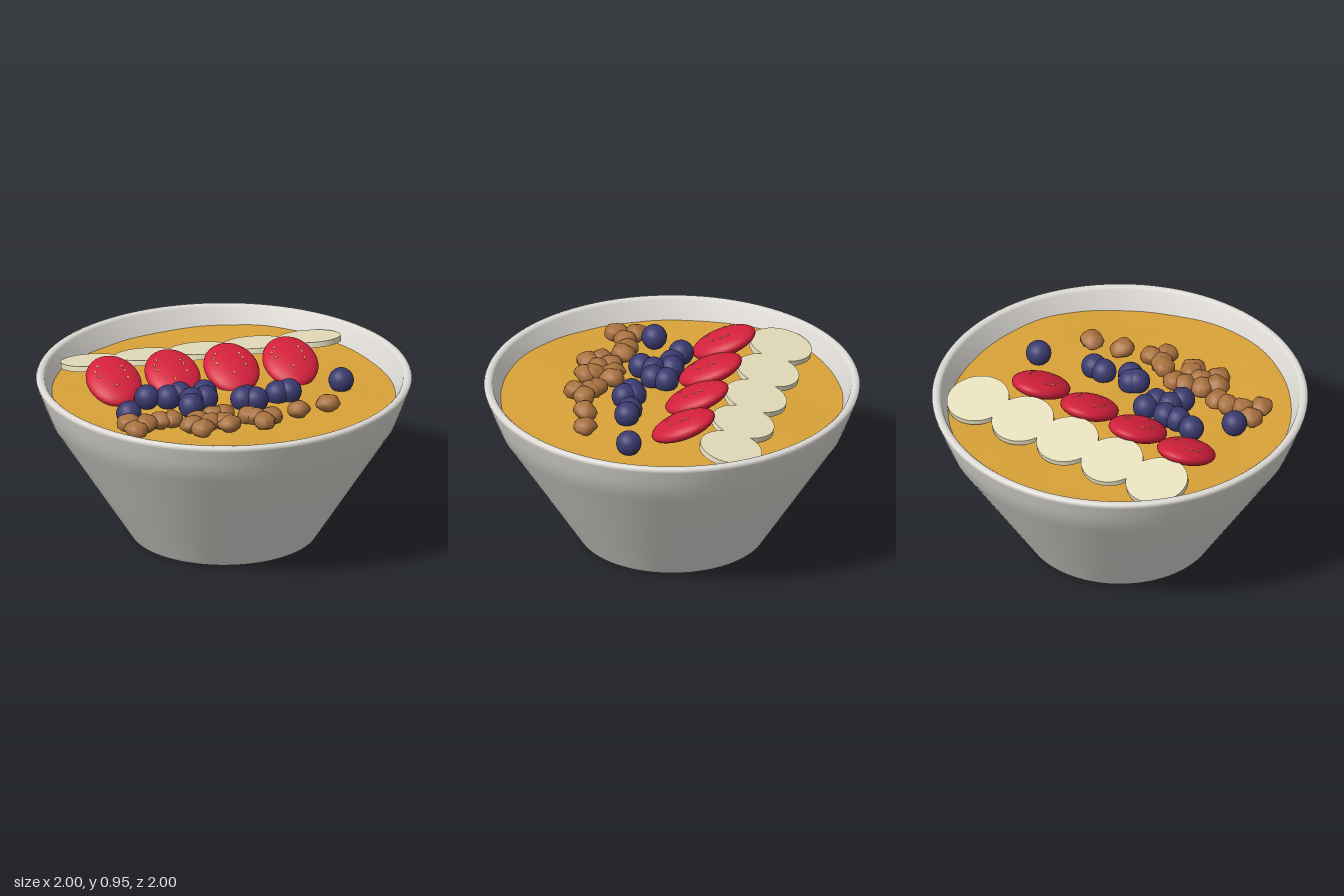
import * as THREE from 'three';

const mat = (name, color, side = THREE.FrontSide) => {
  const m = new THREE.MeshStandardMaterial({ color, side });
  m.name = name;
  return m;
};

export function createModel() {
  const ceramic = mat('ceramic', 0xdedbd6);
  const smoothie = mat('smoothie', 0xd9a238, THREE.DoubleSide);
  const banana = mat('banana', 0xeee6c2);
  const red = mat('berryRed', 0xd4203c);
  const seedGold = mat('seedGold', 0xdcb050);
  const blue = mat('berryBlue', 0x3a3a70);
  const brown = mat('nutBrown', 0xa8713f);

  const model = new THREE.Group();
  model.name = 'fruitBowl';
  const add = (name, geo, material, x = 0, y = 0, z = 0, parent = model) => {
    const mesh = new THREE.Mesh(geo, material);
    mesh.name = name;
    mesh.position.set(x, y, z);
    parent.add(mesh);
    return mesh;
  };

  // Bowl: outer wall, rounded rim, inner wall
  const profile = [
    [0, 0], [0.48, 0], [0.5, 0.004], [0.512, 0.022], [0.92, 0.66], [0.965, 0.775],
    [0.998, 0.865], [1, 0.878], [0.994, 0.888], [0.98, 0.893], [0.964, 0.89],
    [0.953, 0.88], [0.91, 0.78], [0.87, 0.68], [0.47, 0.06], [0, 0.05],
  ].map(([x, y]) => new THREE.Vector2(x, y));
  add('bowl', new THREE.LatheGeometry(profile, 96), ceramic);

  // Gently rippled filling, its edge running into the wall
  const surface = new THREE.RingGeometry(0.001, 0.93, 72, 16);
  surface.rotateX(-Math.PI / 2);
  const p = surface.attributes.position;
  for (let i = 0; i < p.count; i++) {
    const x = p.getX(i), z = p.getZ(i);
    p.setY(i, 0.785 + 0.007 * Math.sin(5 * x + 2 * z + 1) + 0.006 * Math.cos(6 * z - 3 * x)
      + 0.002 * Math.sin(17 * x) * Math.cos(15 * z));
  }
  surface.computeVertexNormals();
  add('filling', surface, smoothie);

  // Row of banana slices leaning backward
  const slice = new THREE.CylinderGeometry(0.167, 0.167, 0.03, 40);
  for (let i = 0; i < 5; i++) {
    add('bananaSlice', slice, banana, -0.6 + 0.3 * i, 0.845, -0.455).rotation.x = -0.2;
  }

  // Strawberry halves propped on the slices, dotted with seeds
  const fruit = new THREE.SphereGeometry(1, 32, 20);
  const seed = new THREE.SphereGeometry(1, 6, 4);
  const seedSpots = [[-0.095, -0.04], [-0.085, 0], [-0.075, -0.075], [0.05, -0.055],
    [0.065, 0.03], [0.06, -0.02], [-0.01, 0.08]];
  for (let i = 0; i < 4; i++) {
    const berry = new THREE.Group();
    berry.name = 'strawberry';
    berry.position.set(-0.565 + 0.325 * i, 0.857, -0.155);
    berry.rotation.x = 0.4;
    model.add(berry);
    add('strawberryFlesh', fruit, red, 0, 0, 0, berry).scale.set(0.148, 0.058, 0.182);
    for (const [x, z] of seedSpots) {
      const h = 0.058 * Math.sqrt(1 - (x / 0.148) ** 2 - (z / 0.182) ** 2);
      add('strawberrySeed', seed, seedGold, x, h, z, berry).scale.set(0.007, 0.004, 0.01);
    }
  }

  // Scattered blueberries
  const ball = new THREE.SphereGeometry(0.068, 20, 14);
  [[-0.44, 0.05], [-0.33, 0.075], [-0.26, 0.06], [-0.125, 0.06], [-0.22, 0.15],
    [-0.14, 0.135], [-0.245, 0.225], [-0.59, 0.23], [0.045, 0.21], [0.075, 0.19],
    [0.11, 0.235], [0.245, 0.175], [0.31, 0.175], [0.62, 0.095],
  ].forEach(([x, z], i) => add('blueberry', ball, blue, x, 0.834 - 0.004 * (i % 2), z));

  // Lumpy nut pieces, each turned differently
  const nut = new THREE.SphereGeometry(1, 14, 10);
  const q = nut.attributes.position;
  for (let i = 0; i < q.count; i++) {
    const x = q.getX(i), y = q.getY(i), z = q.getZ(i);
    const s = 1 + 0.07 * Math.sin(4 * x + 1) * Math.cos(4 * z) + 0.05 * Math.sin(5 * y + 3 * x);
    q.setXYZ(i, x * s, y * s, z * s);
  }
  nut.computeVertexNormals();
  [[-0.62, 0.335], [-0.61, 0.44], [-0.54, 0.38], [-0.45, 0.35], [-0.385, 0.35],
    [-0.305, 0.45], [-0.25, 0.39], [-0.26, 0.515], [-0.165, 0.355], [-0.1, 0.35],
    [-0.2, 0.44], [-0.13, 0.45], [-0.11, 0.495], [0.025, 0.41], [0.08, 0.505],
    [0.13, 0.45], [0.055, 0.435], [0.3, 0.405], [0.47, 0.365],
  ].forEach(([x, z], i) => {
    const piece = add('nutPiece', nut, brown, x, 0.825, z);
    piece.scale.set(0.068, 0.046, 0.06);
    piece.rotation.set(0.15 * Math.sin(i), i * 1.9, 0.15 * Math.cos(i * 2));
  });

  return model;
}
